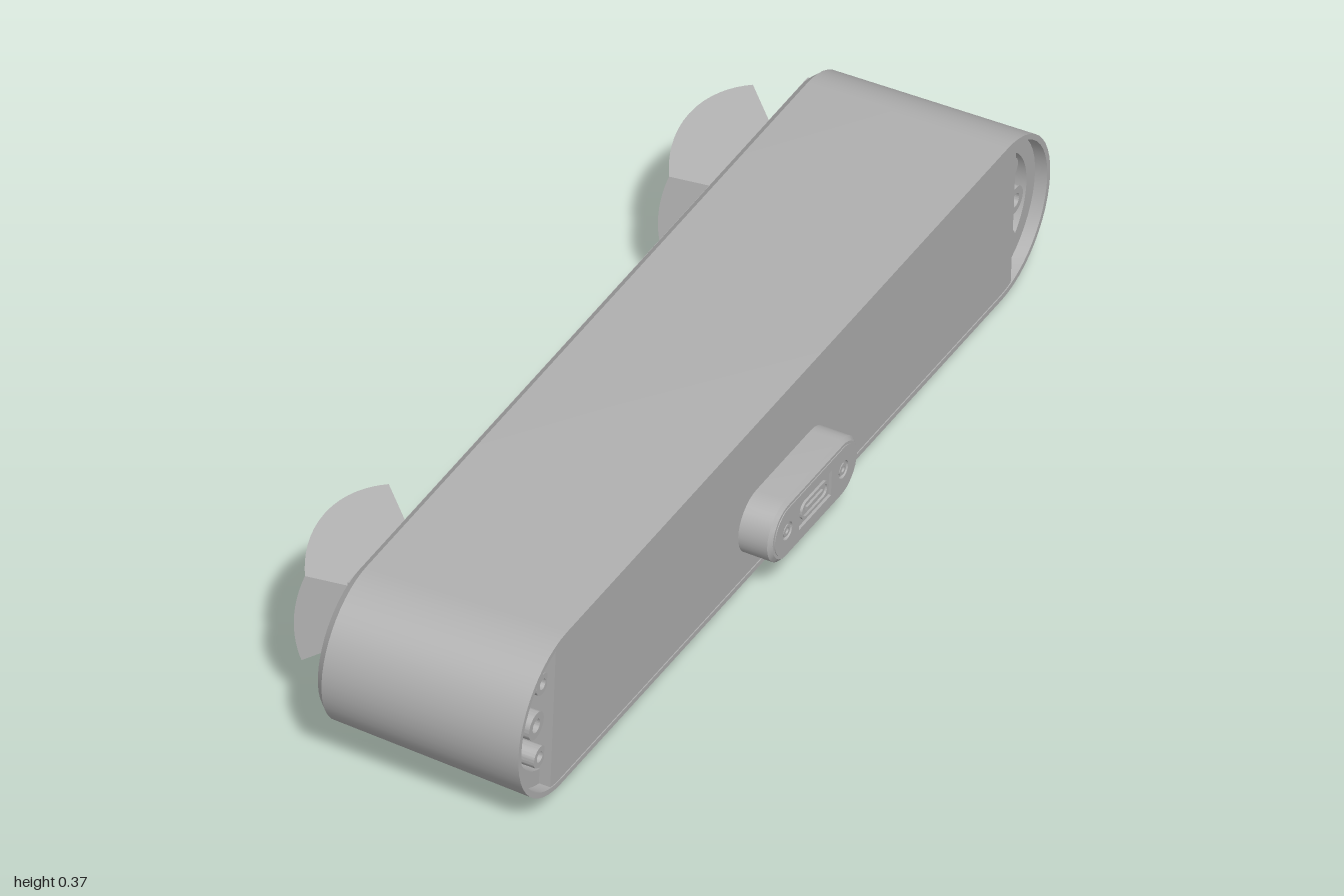
import * as THREE from 'three';
import { toCreasedNormals } from 'three/addons/utils/BufferGeometryUtils.js';

const grey = new THREE.MeshStandardMaterial({ color: 0xb0b0b0 });
grey.name = 'grey';
const thinGrey = new THREE.MeshStandardMaterial({ color: 0xb0b0b0, side: THREE.DoubleSide });
thinGrey.name = 'thin grey';

function part(name, geometry, parent, material = grey) {
  const mesh = new THREE.Mesh(geometry, material);
  mesh.name = name;
  parent.add(mesh);
  return mesh;
}

function creased(points, index) {
  const g = new THREE.BufferGeometry();
  g.setAttribute('position', new THREE.Float32BufferAttribute(points, 3));
  g.setIndex(index);
  return toCreasedNormals(g, 0.5);
}

// Skins stadium-shaped rings [x, radius] whose arc centres sit at z = +-centre
function stadiumLoft(centre, rings, arc = 24) {
  const p = [], index = [], n = 2 * (arc + 1);
  for (const [x, r] of rings) {
    for (let j = 0; j < n; j++) {
      const first = j <= arc;
      const a = -Math.PI / 2 + Math.PI * (first ? j : j - 1) / arc;
      p.push(x, r * Math.sin(a), (first ? -centre : centre) - r * Math.cos(a));
    }
  }
  for (let i = 0; i < rings.length - 1; i++) {
    for (let j = 0; j < n; j++) {
      const a = i * n + j, b = i * n + (j + 1) % n;
      index.push(a, b, a + n, b, b + n, a + n);
    }
  }
  return creased(p, index);
}

// Four thin walls of a view pyramid, trimmed by a sphere around its apex
function viewCone(tanV, tanH, start, radius, steps = 16) {
  const p = [], index = [];
  const corners = [[-1, -1], [1, -1], [1, 1], [-1, 1]];
  corners.forEach(([v0, h0], k) => {
    const [v1, h1] = corners[(k + 1) % 4];
    for (let i = 0; i <= steps; i++) {
      const t = i / steps;
      const dir = new THREE.Vector3(-1, tanV * (v0 + (v1 - v0) * t), tanH * (h0 + (h1 - h0) * t));
      const end = radius / dir.length();
      const a = p.length / 3;
      p.push(...dir.clone().multiplyScalar(start).toArray(), ...dir.multiplyScalar(end).toArray());
      if (i < steps) index.push(a, a + 1, a + 2, a + 1, a + 3, a + 2);
    }
  });
  return creased(p, index);
}

// Hollow round boss opening towards +x
function boss(radius, hole, height) {
  const profile = [[radius, 0], [radius, height], [hole, height], [hole, height * 0.3], [0, height * 0.3]];
  const g = new THREE.LatheGeometry(profile.map(([r, y]) => new THREE.Vector2(r, y)), 24);
  return toCreasedNormals(g.rotateZ(-Math.PI / 2), 0.5);
}

function circleHole(x, y, r) {
  return new THREE.Path().absarc(x, y, r, 0, Math.PI * 2, true);
}

export function createModel() {
  const model = new THREE.Group();
  model.name = 'stereoCamera';
  const camera = new THREE.Group();
  camera.name = 'cameraAssembly';
  camera.position.set(0, 0.197, 0);
  camera.rotation.set(-0.02, 0, -0.026);
  model.add(camera);

  // Drafted housing with bevelled lens side and recessed rear side
  part('housing', stadiumLoft(0.828, [
    [-0.17, 0.0005], [-0.17, 0.144], [-0.155, 0.158], [0.253, 0.171], [0.253, 0.16],
    [0.228, 0.16], [0.228, 0.128], [0.195, 0.128], [0.195, 0.0005],
  ]), camera);
  part('rearPanel', new THREE.BoxGeometry(0.055, 0.322, 1.73), camera).position.x = 0.2235;
  part('lensPanel', new THREE.BoxGeometry(0.006, 0.28, 1.73), camera).position.x = -0.17;

  // Bosses in the two rear end recesses
  for (const side of [-1, 1]) {
    for (const [y, z, r] of [[-0.082, 0.882, 0.022], [0, 0.9, 0.028], [0.082, 0.882, 0.022]]) {
      part('endBoss', boss(r, r * 0.5, 0.042), camera).position.set(0.194, y, side * z);
    }
    part('viewCone', viewCone(0.47, 0.78, 0.098, 0.273), camera, thinGrey)
      .position.set(-0.072, 0, side * 0.684 - 0.006);
  }

  // Flat mounting pad with a thread hole and two pin holes
  const padShape = new THREE.Shape([[0.17, 0.64], [-0.12, 0.53], [-0.12, -0.53], [0.17, -0.64]]
    .map(([x, z]) => new THREE.Vector2(x, z)));
  padShape.holes.push(circleHole(-0.01, 0, 0.026), circleHole(-0.01, 0.2, 0.014), circleHole(-0.01, -0.2, 0.014));
  const pad = new THREE.ExtrudeGeometry(padShape, { depth: 0.03, bevelEnabled: false, curveSegments: 16 });
  pad.rotateX(Math.PI / 2);
  part('mountingPad', pad, camera).position.y = -0.139;

  // Cable connector: rounded plug face with socket and screw holes
  const connector = new THREE.Group();
  connector.name = 'connector';
  connector.position.set(0.25, -0.051, 0);
  camera.add(connector);
  part('connectorBody', stadiumLoft(0.102, [
    [0, 0.064], [0.06, 0.064], [0.067, 0.056], [0.067, 0.05], [0.063, 0.05], [0.063, 0.0005],
  ], 16), connector);
  const face = new THREE.Shape();
  face.moveTo(-0.102, -0.05).lineTo(0.102, -0.05).absarc(0.102, 0, 0.05, -Math.PI / 2, Math.PI / 2, false)
    .lineTo(-0.102, 0.05).absarc(-0.102, 0, 0.05, Math.PI / 2, Math.PI * 1.5, false);
  const slot = new THREE.Path([[-0.06, -0.028], [-0.06, 0.028], [0.06, 0.028], [0.06, -0.028]]
    .map(([x, y]) => new THREE.Vector2(x, y)));
  face.holes.push(slot, circleHole(-0.105, 0, 0.018), circleHole(0.105, 0, 0.018));
  const plate = new THREE.ExtrudeGeometry(face, { depth: 0.006, bevelEnabled: false, curveSegments: 16 });
  part('connectorFace', plate.rotateY(Math.PI / 2), connector).position.x = 0.0625;
  part('socket', stadiumLoft(0.032, [
    [0, 0.019], [0.068, 0.019], [0.068, 0.013], [0.0635, 0.013], [0.0635, 0.0005],
  ], 10), connector);
  part('socketTongue', new THREE.BoxGeometry(0.006, 0.008, 0.06), connector).position.x = 0.065;
  for (const z of [-0.105, 0.105]) {
    part('screw', boss(0.012, 0.006, 0.005), connector).position.set(0.0625, 0, z);
  }
  return model;
}
